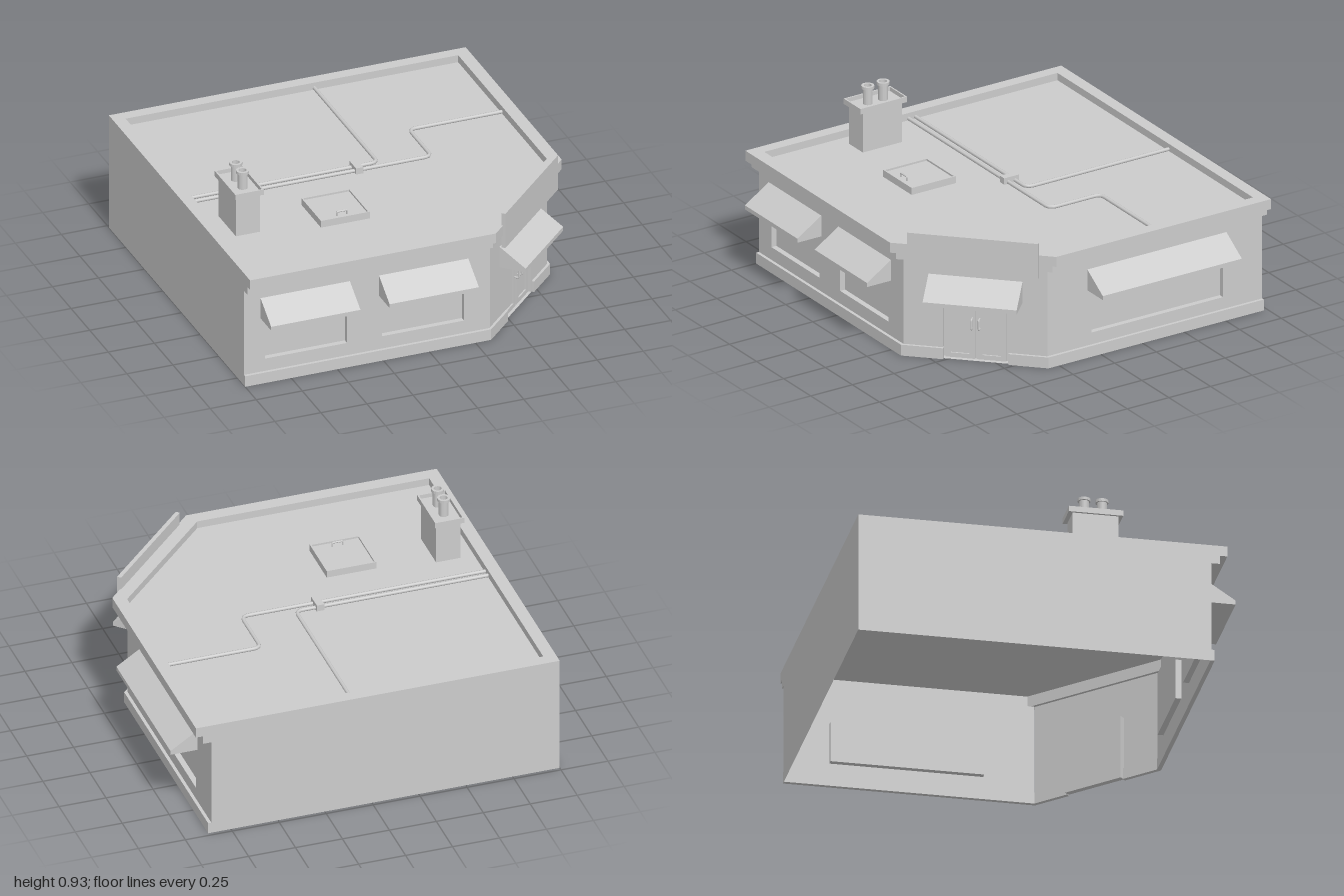
import * as THREE from 'three';

const mat = new THREE.MeshStandardMaterial({ color: 0xcccccc, side: THREE.DoubleSide, flatShading: true });
const smooth = new THREE.MeshStandardMaterial({ color: 0xcccccc });
const ROOF = 0.6;

function add(parent, name, geo, x = 0, y = 0, z = 0, material = mat) {
  const mesh = new THREE.Mesh(geo, material);
  mesh.name = name;
  mesh.position.set(x, y, z);
  parent.add(mesh);
  return mesh;
}

const box = (w, h, d) => new THREE.BoxGeometry(w, h, d);

// plan shape from [x, z] points, extruded upwards
const plan = (pts) => new THREE.Shape(pts.map(([x, z]) => new THREE.Vector2(x, -z)));
function slab(pts, height, hole) {
  const shape = plan(pts);
  if (hole) shape.holes.push(plan(hole));
  return new THREE.ExtrudeGeometry(shape, { depth: height, bevelEnabled: false }).rotateX(-Math.PI / 2);
}

// building outline, pushed out by d on the street sides only
const outline = (d) => [[-1, -0.98], [0.855 + d, -0.98], [0.855 + d, 0.31], [0.335, 0.835 + d], [-1, 0.835 + d]];
const inner = [[-0.935, -0.915], [0.87, -0.915], [0.87, 0.275], [0.3, 0.845], [-0.935, 0.845]];

const rect = (T, x0, y0, x1, y1) =>
  new T([[x0, y0], [x1, y0], [x1, y1], [x0, y1]].map((p) => new THREE.Vector2(...p)));

// flat wall with recessed openings [centre x, bottom, width, height]
function wall(parent, name, length, openings = [], depth = 0.03) {
  const g = new THREE.Group();
  g.name = name;
  const shape = rect(THREE.Shape, -length / 2, 0, length / 2, 0.54);
  for (const [x, y, w, h] of openings) {
    shape.holes.push(rect(THREE.Path, x - w / 2, y, x + w / 2, y + h));
    const recess = box(w, h, depth);
    recess.setIndex([...recess.index.array].filter((_, i) => i < 24 || i >= 30));
    add(g, 'recess', recess, x, y + h / 2, -depth / 2);
  }
  add(g, 'wallFace', new THREE.ShapeGeometry(shape));
  parent.add(g);
  return g;
}

// wedge awning with a short front edge
function awning(parent, x, width, bottom, top) {
  const profile = new THREE.Shape([[0, bottom], [0.143, bottom], [0.143, bottom + 0.022], [0, top]]
    .map((p) => new THREE.Vector2(...p)));
  const geo = new THREE.ExtrudeGeometry(profile, { depth: width, bevelEnabled: false })
    .rotateY(-Math.PI / 2).translate(width / 2, 0, 0);
  add(parent, 'awning', geo, x);
}

// block with a shallow sunken top
function tray(parent, name, w, h, l, sink, x, y, z) {
  const r = (a, b) => [[-a, -b], [a, -b], [a, b], [-a, b]];
  add(parent, name, slab(r(w / 2, l / 2), h, r(w / 2 - 0.008, l / 2 - 0.008)), x, y, z);
  add(parent, name + 'Panel', box(w - 0.016, h - sink, l - 0.016), x, y + (h - sink) / 2, z);
}

// tube along points, with rounded corners
function pipe(parent, name, pts, radius, bend) {
  const v = pts.map((p) => new THREE.Vector3(...p));
  const path = new THREE.CurvePath();
  let from = v[0];
  for (let i = 1; i < v.length - 1; i++) {
    const a = v[i].clone().add(v[i - 1].clone().sub(v[i]).setLength(bend));
    const b = v[i].clone().add(v[i + 1].clone().sub(v[i]).setLength(bend));
    path.add(new THREE.LineCurve3(from, a));
    path.add(new THREE.QuadraticBezierCurve3(a, v[i], b));
    from = b;
  }
  path.add(new THREE.LineCurve3(from, v[v.length - 1]));
  add(parent, name, new THREE.TubeGeometry(path, 100, radius, 8), 0, 0, 0, smooth);
}

export function createModel() {
  const model = new THREE.Group();
  model.name = 'cornerShop';

  // street walls with windows and awnings
  const front = wall(model, 'frontWall', 1.335, [[-0.33, 0.13, 0.445, 0.215], [0.305, 0.13, 0.445, 0.215]]);
  front.position.set(-0.3325, 0, 0.835);
  awning(front, -0.335, 0.485, 0.365, 0.48);
  awning(front, 0.308, 0.485, 0.365, 0.48);

  const side = wall(model, 'sideWall', 1.29, [[0.015, 0.125, 0.79, 0.22]]);
  side.position.set(0.855, 0, -0.335);
  side.rotation.y = Math.PI / 2;
  awning(side, 0.0125, 0.835, 0.365, 0.48);

  // plain rear walls
  const back = wall(model, 'backWall', 1.855);
  back.position.set(-0.0725, 0, -0.98);
  back.rotation.y = Math.PI;
  const left = wall(model, 'leftWall', 1.815);
  left.position.set(-1, 0, -0.0725);
  left.rotation.y = -Math.PI / 2;

  // chamfered corner with entrance, awning and blank sign board
  const corner = wall(model, 'entranceWall', 0.739, [[0, 0, 0.335, 0.34]]);
  corner.position.set(0.595, 0, 0.5725);
  corner.rotation.y = Math.PI / 4;
  awning(corner, 0, 0.484, 0.343, 0.46);
  add(corner, 'signBoard', box(0.675, 0.195, 0.022), 0, 0.6125, 0.062);
  for (const s of [-1, 1]) {
    const door = new THREE.Group();
    door.name = 'door';
    const leaf = rect(THREE.Shape, -0.075, 0.005, 0.075, 0.33);
    leaf.holes.push(rect(THREE.Path, -0.048, 0.03, 0.048, 0.305));
    add(door, 'doorFrame', new THREE.ExtrudeGeometry(leaf, { depth: 0.015, bevelEnabled: false }), 0, 0, -0.027);
    add(door, 'doorPanel', box(0.1, 0.28, 0.006), 0, 0.168, -0.023);
    const hx = -s * 0.062;
    pipe(door, 'doorHandle', [[hx, 0.175, -0.014], [hx, 0.175, 0.012], [hx, 0.23, 0.012], [hx, 0.23, -0.014]], 0.005, 0.008);
    door.position.x = s * 0.081;
    corner.add(door);
  }

  // plinth, broken at the entrance
  add(model, 'plinthFront', slab([[-1, 0.83], [-1, 0.852], [0.335, 0.852], [0.489, 0.698], [0.474, 0.683], [0.327, 0.83]], 0.06));
  add(model, 'plinthSide', slab([[0.85, -0.98], [0.872, -0.98], [0.872, 0.315], [0.726, 0.461], [0.711, 0.446], [0.85, 0.307]], 0.06));

  // stepped cornice, parapet and roof
  add(model, 'lowerCornice', slab(outline(0.045), 0.045, inner), 0, 0.54);
  add(model, 'parapet', slab(outline(0.082), 0.055, inner), 0, 0.585);
  add(model, 'roof', new THREE.ShapeGeometry(plan(inner)).rotateX(-Math.PI / 2), 0, ROOF);

  // chimney with two pots
  const chimney = new THREE.Group();
  chimney.name = 'chimney';
  chimney.position.set(-0.797, 0, 0.268);
  model.add(chimney);
  add(chimney, 'stack', box(0.13, 0.22, 0.235), 0, 0.71);
  tray(chimney, 'chimneyCap', 0.155, 0.03, 0.28, 0.022, 0, 0.82, 0);
  const pot = [[0.025, 0], [0.025, 0.085], [0.033, 0.085], [0.033, 0.1], [0.02, 0.1], [0.02, 0.05], [0, 0.05]]
    .map((p) => new THREE.Vector2(...p));
  for (const z of [-0.046, 0.046]) add(chimney, 'chimneyPot', new THREE.LatheGeometry(pot, 20), 0, 0.83, z);

  // roof hatch
  tray(model, 'roofHatch', 0.265, 0.038, 0.265, 0.01, -0.298, ROOF, 0.328);
  pipe(model, 'hatchHandle', [[-0.328, 0.625, 0.42], [-0.328, 0.65, 0.42], [-0.272, 0.65, 0.42], [-0.272, 0.625, 0.42]], 0.005, 0.008);

  // roof pipes and junction box
  const py = ROOF + 0.01;
  pipe(model, 'backPipe', [[-0.935, py, -0.063], [0.09, py, -0.063], [0.09, py, -0.915]], 0.01, 0.04);
  pipe(model, 'sidePipe', [[-0.935, py, -0.022], [0.365, py, -0.022], [0.365, py, -0.327], [0.87, py, -0.327]], 0.01, 0.04);
  add(model, 'junctionBox', box(0.04, 0.035, 0.09), -0.035, ROOF + 0.0175, -0.042);

  return model;
}
